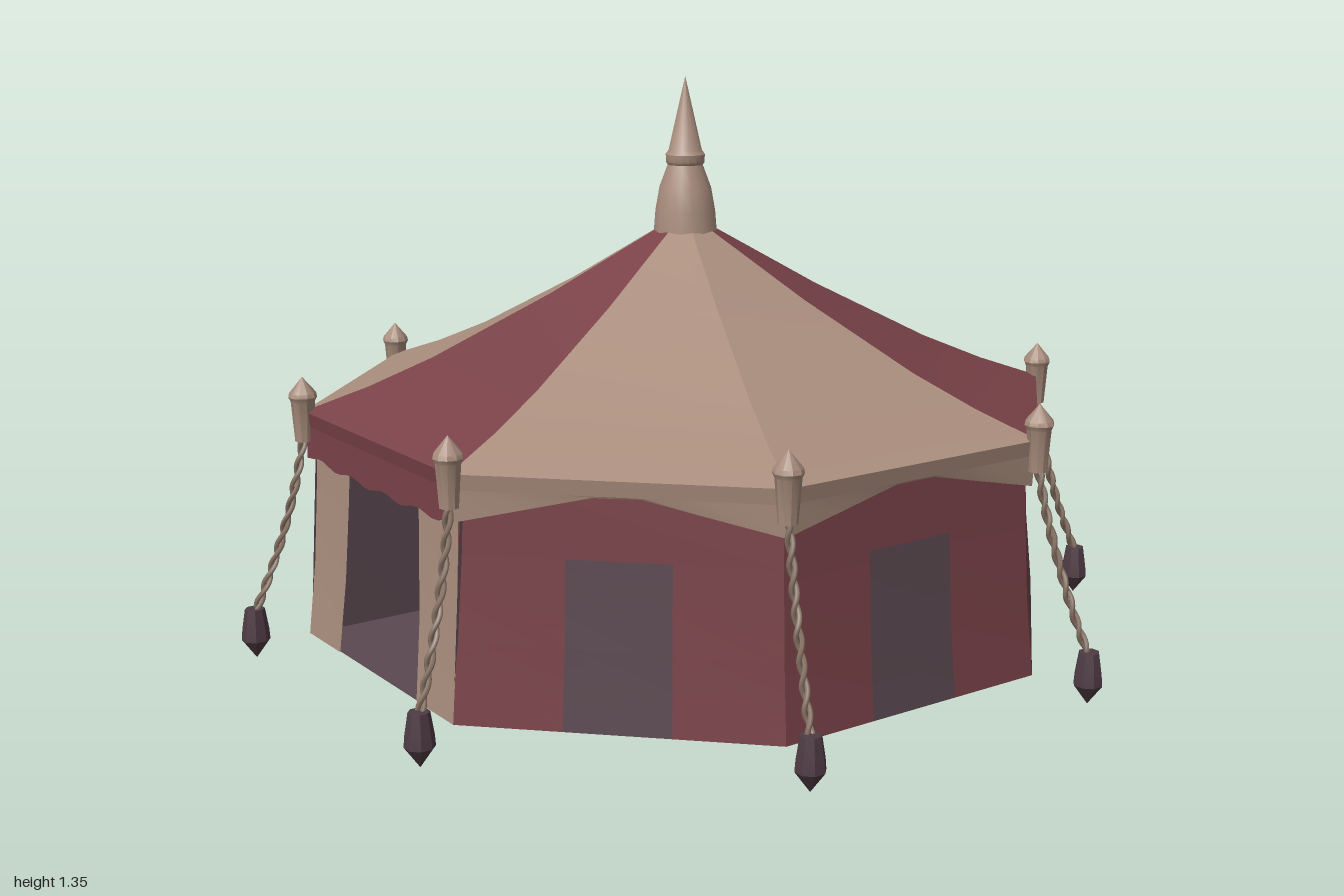
import * as THREE from 'three';
import { mergeGeometries, toCreasedNormals } from 'three/addons/utils/BufferGeometryUtils.js';

const mat = (name, color, side = THREE.FrontSide) => {
  const m = new THREE.MeshStandardMaterial({ color, side });
  m.name = name;
  return m;
};

const SIDES = 8;
const STEP = (Math.PI * 2) / SIDES;
const TAN = Math.tan(STEP / 2);

// Cloth strip on one octagon side: u runs -1..1 across the side, rows(u) gives [apothem, y] points
function strip(us, rows) {
  const pos = [], idx = [];
  const n = rows(us[0]).length;
  us.forEach((u) => rows(u).forEach(([a, y]) => pos.push(u * a * TAN, y, a)));
  for (let i = 0; i < us.length - 1; i++) {
    for (let j = 0; j < n - 1; j++) {
      const p = i * n + j, q = p + n;
      idx.push(p, q, p + 1, q, q + 1, p + 1);
    }
  }
  const g = new THREE.BufferGeometry();
  g.setAttribute('position', new THREE.Float32BufferAttribute(pos, 3));
  g.setIndex(idx);
  g.computeVertexNormals();
  return g;
}

const lathe = (pts, sides) => toCreasedNormals(
  new THREE.LatheGeometry(pts.map(([r, y]) => new THREE.Vector2(r, y)), sides), 0.6);

export function createModel() {
  const root = new THREE.Group();
  root.name = 'pavilionTent';

  const tan = mat('tan cloth', 0xa98d7d, THREE.DoubleSide);
  const red = mat('red cloth', 0x794248, THREE.DoubleSide);
  const dark = mat('dark plum', 0x5a4850, THREE.DoubleSide);
  const rope = mat('rope', 0x8a7566);
  const iron = mat('peg', 0x4e3b43);

  const add = (parent, name, geo, material) => {
    const m = new THREE.Mesh(geo, material);
    m.name = name;
    parent.add(m);
    return m;
  };

  // Profiles as [apothem, y]
  const roofRows = [[0.84, 0.585], [0.7, 0.637], [0.56, 0.7], [0.3, 0.842], [0.06, 0.99]];
  const bandRows = [[0.834, 0.55], [0.84, 0.585]];
  const lowerWall = [[0.845, 0.045], [0.828, 0.22], [0.818, 0.41]];
  const upperWall = [[0.818, 0.41], [0.812, 0.588]];
  const fullWall = [...lowerWall, upperWall[1]];
  const scallopU = [-1, -0.6, -0.15, 0.15, 0.6, 1];
  const scallop = (u) => [[0.83, 0.546 - 0.066 * Math.max(0, (Math.abs(u) - 0.15) / 0.85)], [0.834, 0.552]];
  const waveU = Array.from({ length: 25 }, (_, i) => -1 + i / 12);
  const wave = (u) => [[0.836, 0.472 + 0.006 * Math.sin(u * 14) + 0.008 * u * u], [0.834, 0.552]];

  for (let k = 0; k < SIDES; k++) {
    const side = new THREE.Group();
    side.name = 'side' + k;
    side.rotation.y = k * STEP;
    root.add(side);
    const roofMat = [0, 3, 5].includes(k) ? red : tan;
    const ends = [-1, 1];
    add(side, 'roofPanel', strip(ends, () => roofRows), roofMat);
    add(side, 'eaveBand', strip(ends, () => bandRows), roofMat);

    if (k === 0) {
      // Entrance: wavy valance and two curtains
      add(side, 'entranceValance', strip(waveU, wave), red);
      for (const s of ends) {
        const us = s < 0 ? [-1, 0] : [0, 1];
        const curtain = strip(us, () => fullWall);
        const p = curtain.attributes.position;
        for (let i = 0; i < p.count; i++) {
          if (Math.abs(p.getX(i)) < 0.01) p.setX(i, s * (0.187 - 0.05 * (p.getY(i) - 0.045)));
        }
        add(side, 'curtain', curtain, tan);
      }
    } else {
      // Wall cloth around a dark window flap
      add(side, 'valance', strip(scallopU, scallop), tan);
      add(side, 'wallCloth', mergeGeometries([
        strip([-1, -0.33], () => lowerWall),
        strip([0.33, 1], () => lowerWall),
        strip(ends, () => upperWall),
      ]), red);
      add(side, 'windowFlap', strip([-0.33, 0.33], () => lowerWall), dark);
    }
  }

  // Entrance chamber: a box open at the front
  const box = new THREE.BoxGeometry(0.69, 0.525, 0.56);
  const index = Array.from(box.index.array);
  index.splice(24, 6);
  box.setIndex(index);
  box.clearGroups();
  box.translate(0, 0.3075, 0.53);
  const bp = box.attributes.position;
  for (let i = 0; i < bp.count; i++) {
    if (bp.getZ(i) > 0.5 && bp.getY(i) < 0.1) bp.setZ(i, 0.842);
    if (bp.getZ(i) < 0.5 && bp.getY(i) > 0.1) bp.setX(i, bp.getX(i) * 0.93);
  }
  box.computeVertexNormals();
  add(root, 'entranceChamber', box, dark);

  // Finial
  add(root, 'finial', lathe([
    [0.076, 0.98], [0.072, 1.03], [0.062, 1.085], [0.042, 1.138], [0.046, 1.144],
    [0.047, 1.162], [0.04, 1.172], [0.0001, 1.345],
  ], 16), tan);

  // Corner posts, twisted guy ropes and pegs
  const postGeo = lathe([
    [0.0001, 0.515], [0.021, 0.515], [0.028, 0.61], [0.033, 0.62], [0.031, 0.63], [0.0001, 0.667],
  ], 10);
  const pegGeo = lathe([
    [0.0001, 0], [0.033, 0.045], [0.031, 0.07], [0.023, 0.12], [0.0001, 0.122],
  ], 8);
  const path = new THREE.QuadraticBezierCurve3(
    new THREE.Vector3(0, 0.53, 0.91),
    new THREE.Vector3(0.008, 0.31, 0.95),
    new THREE.Vector3(0.014, 0.11, 1.04));
  const strands = [0, Math.PI].map((phase) => {
    const pts = path.getPoints(36).map((p, i) => {
      const t = phase + i * 0.8;
      return p.clone().add(new THREE.Vector3(Math.cos(t) * 0.006, 0, Math.sin(t) * 0.006));
    });
    return new THREE.TubeGeometry(new THREE.CatmullRomCurve3(pts), 72, 0.006, 5);
  });
  const ropeGeo = mergeGeometries(strands);

  for (let k = 0; k < SIDES; k++) {
    const corner = new THREE.Group();
    corner.name = 'corner' + k;
    corner.rotation.y = (k + 0.5) * STEP;
    root.add(corner);
    add(corner, 'cornerPost', postGeo, tan).position.z = 0.91;
    add(corner, 'guyRope', ropeGeo, rope);
    add(corner, 'groundPeg', pegGeo, iron).position.set(0.014, 0, 1.04);
  }
  return root;
}
